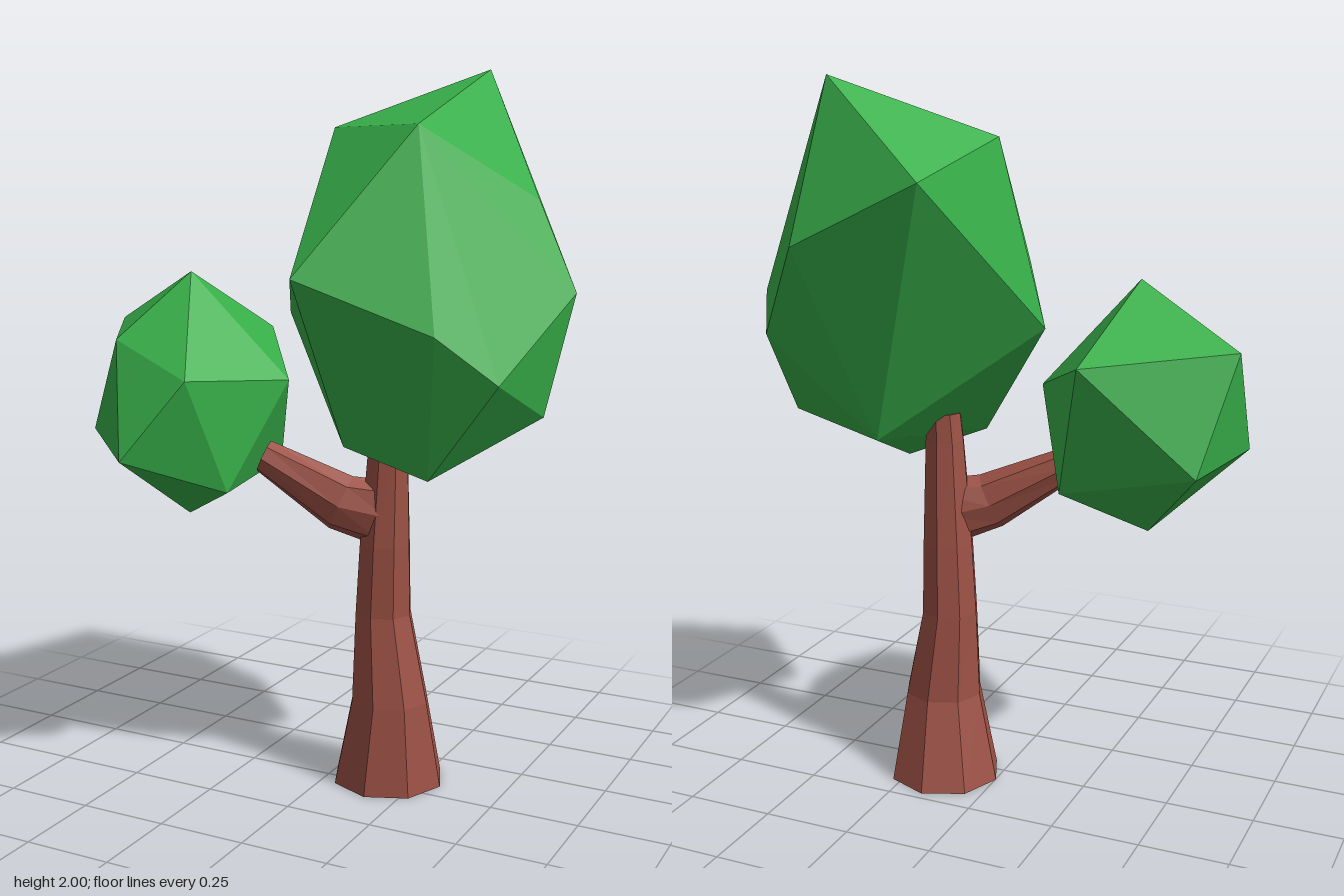
import * as THREE from 'three';
import { ConvexGeometry } from 'three/addons/geometries/ConvexGeometry.js';

const SIDES = 8;
const bark = new THREE.MeshStandardMaterial({ color: 0x9c5145, flatShading: true });
const leaf = new THREE.MeshStandardMaterial({ color: 0x38b04a, flatShading: true });

// Capped tube through rings of [x, y, z, width radius, height radius], all facing along dir
function loft(rings, dir, side) {
  const t = new THREE.Vector3(...dir).normalize();
  const u = new THREE.Vector3(...side).normalize();
  const v = new THREE.Vector3().crossVectors(t, u);
  const pos = [], index = [];
  const add = (p) => pos.push(p.x, p.y, p.z);
  for (const [x, y, z, ru, rv] of rings) {
    for (let i = 0; i < SIDES; i++) {
      const a = (i / SIDES) * Math.PI * 2;
      add(new THREE.Vector3(x, y, z)
        .addScaledVector(u, Math.cos(a) * ru)
        .addScaledVector(v, Math.sin(a) * rv));
    }
  }
  const last = (rings.length - 1) * SIDES, c0 = rings.length * SIDES, c1 = c0 + 1;
  add(new THREE.Vector3(...rings[0].slice(0, 3)));
  add(new THREE.Vector3(...rings[rings.length - 1].slice(0, 3)));
  for (let i = 0; i < SIDES; i++) {
    const j = (i + 1) % SIDES;
    for (let r = 0; r < last; r += SIDES) {
      index.push(r + i, r + j, r + SIDES + j, r + i, r + SIDES + j, r + SIDES + i);
    }
    index.push(c0, j, i, c1, last + i, last + j);
  }
  const g = new THREE.BufferGeometry();
  g.setAttribute('position', new THREE.Float32BufferAttribute(pos, 3));
  g.setIndex(index);
  const flat = g.toNonIndexed();
  flat.computeVertexNormals();
  return flat;
}

// Faceted foliage: the hull around a few corner points
const foliage = (pts) => new ConvexGeometry(pts.map((p) => new THREE.Vector3(...p)));

export function createModel() {
  const tree = new THREE.Group();
  tree.name = 'tree';
  const part = (name, geometry, material) => {
    const mesh = new THREE.Mesh(geometry, material);
    mesh.name = name;
    tree.add(mesh);
  };

  // Trunk, flared at the foot
  part('trunk', loft([
    [0.16, 0, -0.063, 0.162, 0.162],
    [0.172, 0.25, -0.043, 0.11, 0.114],
    [0.15, 0.5, -0.043, 0.083, 0.082],
    [0.157, 0.7, -0.036, 0.075, 0.074],
    [0.168, 1.0, -0.03, 0.053, 0.058],
    [0.17, 1.08, -0.03, 0.05, 0.05],
  ], [0, 1, 0], [0, 0, 1]), bark);

  // Side branch, thick where it leaves the trunk
  part('branch', loft([
    [0.17, 0.79, -0.03, 0.055, 0.1],
    [0.05, 0.82, 0.025, 0.06, 0.082],
    [-0.165, 0.94, 0.075, 0.045, 0.048],
  ], [-0.85, 0.4, 0.27], [0.27, 0, 0.85]), bark);

  // Large crown, leaning back
  part('largeCrown', foliage([
    [0.31, 2.0, -0.385], [0.31, 1.845, 0.11], [-0.015, 1.84, -0.065],
    [0.03, 1.75, -0.455], [0.54, 1.65, -0.165], [0.38, 1.58, -0.475],
    [0.06, 1.46, 0.335], [0.65, 1.41, -0.16], [-0.13, 1.335, -0.02],
    [0.53, 1.33, -0.36], [0.41, 1.32, 0.225], [0.54, 1.19, 0.11],
    [0.575, 1.075, -0.14], [0.28, 1.03, -0.22], [0.11, 1.0, 0.13],
    [0.33, 0.915, 0.07],
  ]), leaf);

  // Small crown at the end of the branch
  part('smallCrown', foliage([
    [-0.335, 1.455, 0.17], [-0.655, 1.3, 0.03], [-0.465, 1.28, 0.345],
    [-0.285, 1.27, -0.195], [-0.215, 1.19, 0.4], [-0.085, 1.16, 0.075],
    [-0.645, 1.0, 0.205], [-0.58, 0.98, -0.09], [-0.375, 0.975, 0.475],
    [-0.2, 0.9, -0.09], [-0.175, 0.87, 0.26], [-0.39, 0.76, 0.11],
  ]), leaf);

  return tree;
}
